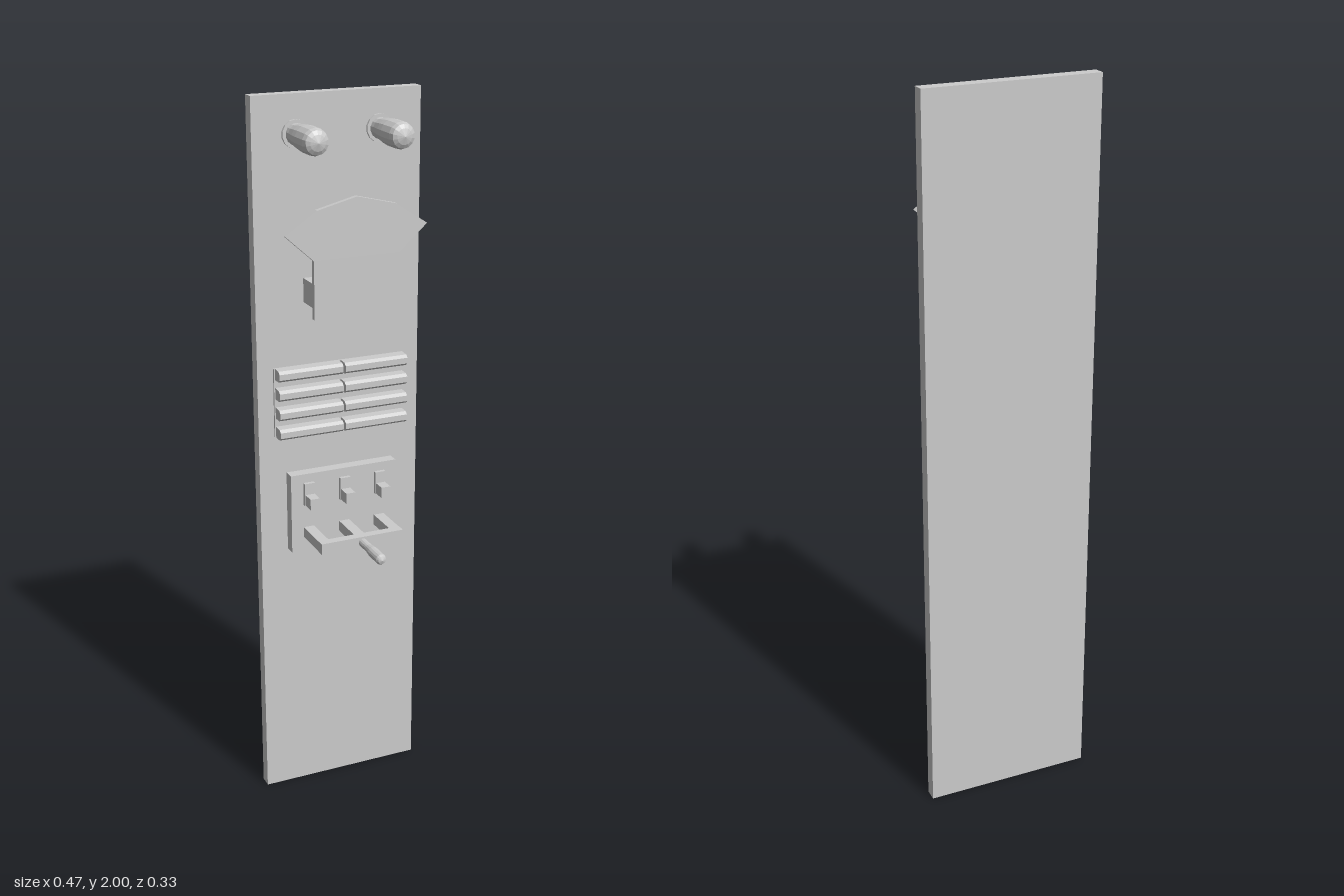
import * as THREE from 'three';

const grey = new THREE.MeshStandardMaterial({ color: 0xcccccc, flatShading: true });
const WALL = -0.128; // front face of the panel

export function createModel() {
  const root = new THREE.Group();

  const add = (name, geometry, x = 0, y = 0, z = 0, parent = root) => {
    const mesh = new THREE.Mesh(geometry, grey);
    mesh.name = name;
    mesh.position.set(x, y, z);
    parent.add(mesh);
    return mesh;
  };
  // box given by its extents
  const box = (name, x0, x1, y0, y1, z0, z1, parent) =>
    add(name, new THREE.BoxGeometry(x1 - x0, y1 - y0, z1 - z0),
      (x0 + x1) / 2, (y0 + y1) / 2, (z0 + z1) / 2, parent);
  // turned part along +z, points are [radius, z]
  const turned = (name, points, x, y, parent) => {
    const g = new THREE.LatheGeometry(points.map(p => new THREE.Vector2(...p)), 14);
    g.rotateX(Math.PI / 2);
    return add(name, g, x, y, 0, parent);
  };
  const group = (name) => {
    const g = new THREE.Group();
    g.name = name;
    root.add(g);
    return g;
  };

  box('panel', -0.235, 0.235, 0, 2, -0.163, WALL);

  // pair of swelling handles with a round flange
  const handles = group('handles');
  for (const x of [-0.117, 0.117]) {
    turned('handle', [
      [0, WALL], [0.037, WALL], [0.037, -0.121], [0.028, -0.121], [0.028, -0.105],
      [0.033, -0.07], [0.035, -0.045], [0.035, 0.005], [0.031, 0.019],
      [0.021, 0.025], [0, 0.031],
    ], x, 1.9, handles);
  }

  // fan-topped gauge plate on a bracket
  const gauge = group('gauge');
  const half = [[0.12, 1.445], [0.12, 1.6], [0.197, 1.67], [0.11, 1.728]];
  const outline = [...half, [0, 1.755], ...half.map(([x, y]) => [-x, y]).reverse()];
  add('gaugePlate', new THREE.ExtrudeGeometry(
    new THREE.Shape(outline.map(p => new THREE.Vector2(...p))),
    { depth: 0.014, bevelEnabled: false }), 0, 0, -0.017, gauge);
  box('gaugeBracket', -0.1, 0.1, 1.46, 1.525, WALL, -0.017, gauge);

  // two columns of rounded vent slats on a thin backing
  const vent = group('vent');
  box('ventBacking', -0.19, 0.19, 1.094, 1.288, WALL, -0.122, vent);
  const slat = new THREE.Shape([
    [0.122, -0.016], [0.096, -0.015], [0.087, -0.008],
    [0.087, 0.008], [0.096, 0.015], [0.122, 0.016],
  ].map(p => new THREE.Vector2(...p)));
  const slatGeometry = new THREE.ExtrudeGeometry(slat, { depth: 0.184, bevelEnabled: false });
  slatGeometry.rotateY(Math.PI / 2); // profile x becomes -z, depth runs along +x
  for (const y of [1.273, 1.219, 1.164, 1.109])
    for (const x of [-0.187, 0.003]) add('ventSlat', slatGeometry, x, y, 0, vent);

  // switch plate with three toggles
  const switches = group('switches');
  box('switchPlate', -0.157, 0.157, 0.757, 0.985, WALL, -0.095, switches);
  for (const x of [-0.106, 0, 0.106]) {
    box('toggleBase', x - 0.015, x + 0.015, 0.895, 0.96, -0.095, -0.084, switches);
    box('toggle', x - 0.0135, x + 0.0135, 0.897, 0.928, -0.084, -0.047, switches);
    box('leverArm', x - 0.015, x + 0.015, 0.798, 0.828, -0.095, 0.008, switches);
  }

  // three-armed lever with crossbar and grip
  box('leverCrossbar', -0.121, 0.121, 0.797, 0.829, 0.008, 0.033, switches);
  turned('leverGrip', [
    [0, 0.03], [0.012, 0.03], [0.012, 0.075], [0.015, 0.1],
    [0.015, 0.152], [0.011, 0.159], [0, 0.163],
  ], 0, 0.813, switches);

  return root;
}
